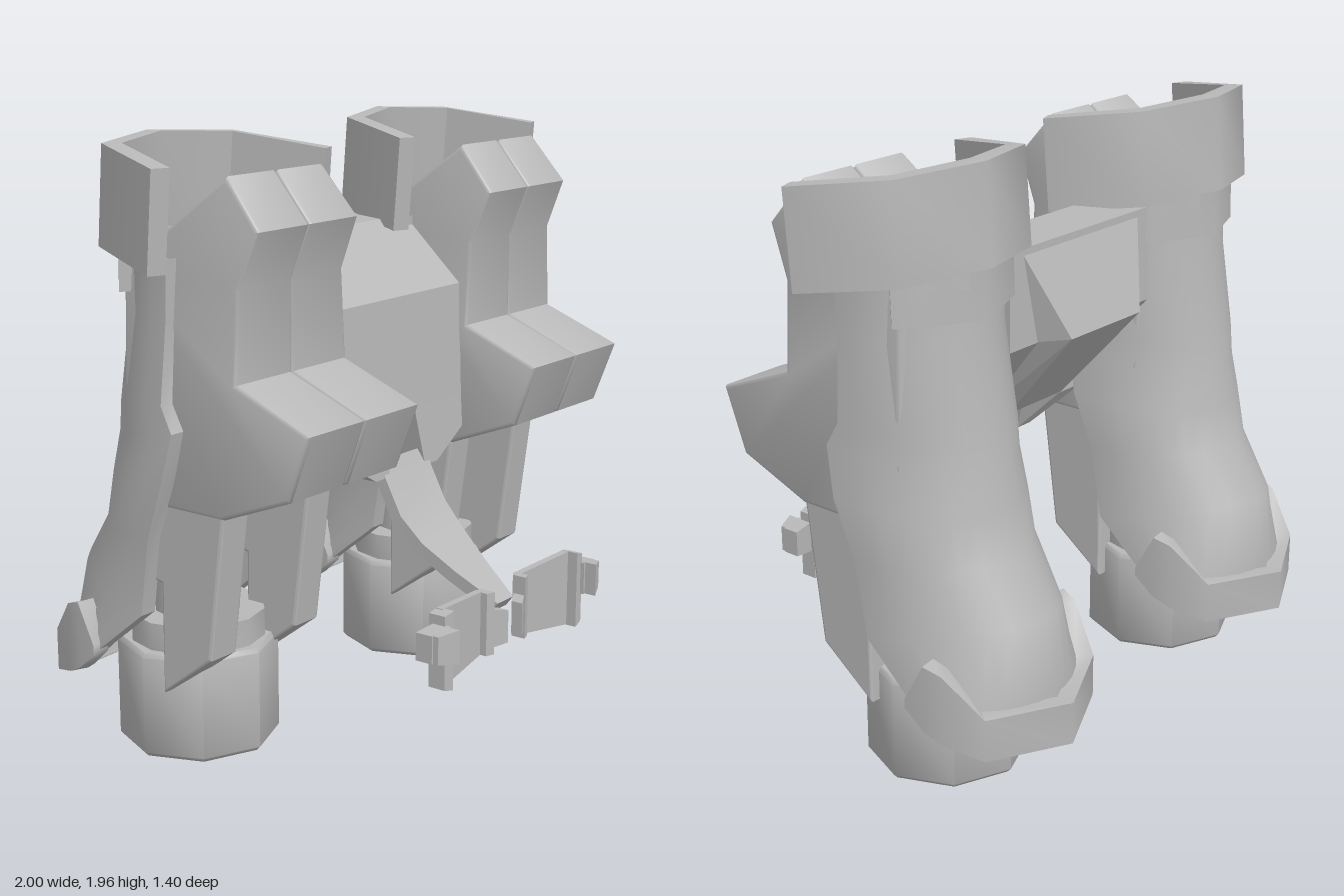
import * as THREE from 'three';
import { toCreasedNormals } from 'three/addons/utils/BufferGeometryUtils.js';
import { ConvexGeometry } from 'three/addons/geometries/ConvexGeometry.js';

const grey = new THREE.MeshStandardMaterial({ color: 0xb8b8b8, side: THREE.DoubleSide });
grey.name = 'grey metal';

function add(parent, name, geometry) {
  const mesh = new THREE.Mesh(geometry, grey);
  mesh.name = name;
  parent.add(mesh);
  return mesh;
}

// Side profile of [z, y] points extruded from x0 to x1
function sideExtrude(profile, x0, x1, bevel = 0) {
  const shape = new THREE.Shape(profile.map(([z, y]) => new THREE.Vector2(-z, y)));
  const g = new THREE.ExtrudeGeometry(shape, {
    depth: x1 - x0 - 2 * bevel, bevelEnabled: bevel > 0, bevelSize: bevel,
    bevelThickness: bevel, bevelOffset: -bevel, bevelSegments: 2,
  });
  return g.rotateY(Math.PI / 2).translate(x0 + bevel, 0, 0);
}

// Surface through rings of [x, y, z]; closed joins the ends of each ring
function loft(rings, closed, crease) {
  const n = rings[0].length, index = [];
  for (let i = 0; i < rings.length - 1; i++) {
    for (let j = 0; j < (closed ? n : n - 1); j++) {
      const k = (j + 1) % n, a = i * n + j, b = i * n + k;
      index.push(a, a + n, b, b, a + n, b + n);
    }
  }
  if (closed) {
    const e = (rings.length - 1) * n;
    for (let j = 1; j < n - 1; j++) index.push(0, j, j + 1, e, e + j + 1, e + j);
  }
  const g = new THREE.BufferGeometry();
  g.setAttribute('position', new THREE.Float32BufferAttribute(rings.flat(2), 3));
  g.setIndex(index);
  return toCreasedNormals(g, crease);
}

// Thick wall along a half plan of [x, z, yBottom, yTop], mirrored about x = 0
function wall(half, thickness, lean) {
  const pts = [...half, ...half.slice(0, -1).reverse().map(([x, ...r]) => [-x, ...r])];
  const rings = pts.map(([x, z, yb, yt], i) => {
    const p = pts[Math.max(i - 1, 0)], q = pts[Math.min(i + 1, pts.length - 1)];
    const l = Math.hypot(q[0] - p[0], q[1] - p[1]);
    const ix = x + (q[1] - p[1]) / l * thickness, iz = z - (q[0] - p[0]) / l * thickness;
    return [[x, yb, z - lean], [x, yt, z], [ix, yt, iz], [ix, yb, iz - lean]];
  });
  return loft(rings, true, 0.9);
}

function createPod() {
  const pod = new THREE.Group();

  // Two-part front cover, narrower at the top
  const profile = [[-0.25, 1.57], [0.15, 1.87], [0.28, 1.72], [0.21, 1.55], [0.21, 1.27],
    [0.49, 1.16], [0.41, 0.95], [0.15, 0.85], [-0.25, 0.85]];
  for (const side of [-1, 1]) {
    const g = sideExtrude(profile, side > 0 ? 0 : -0.265, side > 0 ? 0.265 : 0, 0.014);
    const p = g.attributes.position;
    for (let i = 0; i < p.count; i++) {
      const t = THREE.MathUtils.clamp((p.getY(i) - 1.2) / 0.67, 0, 1);
      p.setX(i, p.getX(i) * (1 - 0.16 * t));
    }
    add(pod, 'frontCover', toCreasedNormals(g, 0.8));

    // Fins hanging beside the nozzle
    const fin = [[0.15, 0.95], [0.15, 0.85], [0.09, 0.39], [-0.11, 0.24], [-0.11, 0.6],
      [-0.2, 0.62], [-0.2, 0.95]];
    add(pod, 'sideFin', sideExtrude(fin, side > 0 ? 0.14 : -0.26, side > 0 ? 0.26 : -0.14, 0.01));
  }

  // Rear sleeve: [front z, front y, back z, back y, half width]
  const levels = [
    [-0.035, 1.62, -0.36, 1.64, 0.285], [-0.04, 1.44, -0.365, 1.43, 0.285],
    [-0.05, 1.18, -0.41, 1.13, 0.305], [-0.005, 1.1, -0.425, 1.03, 0.31],
    [-0.04, 0.94, -0.45, 0.9, 0.325], [-0.11, 0.75, -0.48, 0.75, 0.315],
    [-0.15, 0.5, -0.6, 0.59, 0.31], [-0.32, 0.36, -0.63, 0.35, 0.32], [-0.44, 0.26, -0.63, 0.22, 0.3]];
  const rings = levels.map(([zf, yf, zb, yb, w]) => {
    const ring = [[w - 0.06, yf, zf]];
    for (let i = 0; i <= 16; i++) {
      const a = Math.PI * i / 16, s = Math.sin(a);
      ring.push([w * Math.cos(a), yf + (yb - yf) * s, zf + (zb - zf) * s]);
    }
    ring.push([-w + 0.06, yf, zf]);
    return ring;
  });
  const n = rings[0].length;
  rings.unshift(Array(n).fill([0, 1.58, -0.18]));
  rings.push(Array(n).fill([0, 0.34, -0.3]));
  add(pod, 'rearSleeve', loft(rings, false, 0.7));

  // Flared collar, neck strap and heel band
  add(pod, 'collar', wall([[0.41, 0.035, 1.59, 1.9], [0.29, -0.28, 1.635, 1.945],
    [0, -0.372, 1.65, 1.96]], 0.06, 0.025));
  add(pod, 'neckStrap', wall([[0.27, -0.24, 1.5, 1.64], [0.21, -0.3, 1.5, 1.65],
    [0, -0.372, 1.49, 1.66]], 0.04, 0.005));
  add(pod, 'heelBand', wall([[0.345, -0.33, 0.34, 0.37], [0.34, -0.4, 0.28, 0.5],
    [0.325, -0.46, 0.25, 0.48], [0.265, -0.58, 0.21, 0.35], [0, -0.705, 0.2, 0.34]], 0.06, 0));

  // Nozzle with a faceted bore
  const lathe = (pts, seg) => toCreasedNormals(
    new THREE.LatheGeometry(pts.map(([r, y]) => new THREE.Vector2(r, y)), seg), 0.9);
  add(pod, 'nozzle', lathe([[0, 0.2], [0.15, 0.2], [0.17, 0], [0.245, 0], [0.26, 0.015],
    [0.26, 0.335], [0.25, 0.35], [0, 0.35]], 8)).position.z = -0.2;
  add(pod, 'nozzleStem', lathe([[0.22, 0.35], [0.22, 0.44], [0.14, 0.44], [0.14, 0.78],
    [0.11, 0.8], [0.11, 0.9]], 12)).position.z = -0.2;
  return pod;
}

export function createModel() {
  const model = new THREE.Group();
  model.name = 'jetpack';

  for (const side of [-1, 1]) {
    const pod = createPod();
    pod.name = side > 0 ? 'leftPod' : 'rightPod';
    pod.position.x = 0.59 * side;
    model.add(pod);
  }

  // Central body with a rear bulge
  const body = new THREE.Group();
  body.name = 'centralBody';
  model.add(body);
  add(body, 'bodyShell', sideExtrude([[-0.27, 1.62], [-0.07, 1.62], [0.17, 1.41], [0.19, 1.03],
    [0.0, 0.97], [-0.27, 1.3]], -0.36, 0.36));
  const bulge = [];
  for (const s of [-1, 1]) {
    for (const [x, y, z] of [[0.3, 1.61, -0.265], [0.18, 1.32, -0.37], [0.23, 1.3, -0.26],
      [0.14, 0.99, -0.08], [0.2, 0.98, 0]]) bulge.push(new THREE.Vector3(x * s, y, z));
  }
  add(body, 'rearBulge', new ConvexGeometry(bulge));

  // Lower tabs either side of the notch
  for (const s of [-1, 1]) {
    const tab = [];
    for (const [x, y] of [[0.36, 1.03], [0.36, 0.94], [0.23, 0.94], [0.17, 0.83], [0.1, 0.83], [0.06, 1.03]]) {
      const zf = 0.19 + (1.03 - y) * 0.08;
      tab.push(new THREE.Vector3(x * s, y, zf), new THREE.Vector3(x * s, y, y < 0.9 ? 0.08 : 0));
    }
    add(body, 'lowerTab', new ConvexGeometry(tab));
  }

  // Curved control arm: [half width, y, z]
  const arm = [[0.125, 0.87, 0.17], [0.125, 0.7, 0.26], [0.115, 0.62, 0.34],
    [0.085, 0.54, 0.45], [0.045, 0.45, 0.59]].map(([w, y, z]) => [
    [-w, y + 0.015, z + 0.012], [w, y + 0.015, z + 0.012],
    [w, y - 0.02, z - 0.015], [-w, y - 0.02, z - 0.015]]);
  add(model, 'controlArm', loft(arm, true, 0.5));

  // Hand controls
  for (const s of [-1, 1]) {
    const hand = new THREE.Group();
    hand.name = s > 0 ? 'leftControl' : 'rightControl';
    model.add(hand);
    const plate = (name, corners, depth) => add(hand, name, new ConvexGeometry(
      corners.flatMap(([x, y, z]) => [new THREE.Vector3(x * s, y, z), new THREE.Vector3(x * s, y, z + depth)])));
    plate('controlPlate', [[0.11, 0.52, 0.56], [0.11, 0.31, 0.56], [0.37, 0.54, 0.59], [0.37, 0.28, 0.59]], 0.025);
    plate('innerFlange', [[0.09, 0.52, 0.57], [0.09, 0.31, 0.57], [0.12, 0.52, 0.56], [0.12, 0.31, 0.56]], 0.05);
    plate('outerFlange', [[0.36, 0.54, 0.59], [0.36, 0.28, 0.59], [0.4, 0.53, 0.585], [0.4, 0.29, 0.585]], 0.06);
    plate('innerBlock', [[0.04, 0.45, 0.6], [0.04, 0.34, 0.6], [0.1, 0.46, 0.57], [0.1, 0.33, 0.57]], 0.04);
    plate('outerBlock', [[0.39, 0.5, 0.6], [0.39, 0.39, 0.6], [0.475, 0.49, 0.59], [0.475, 0.4, 0.59]], 0.06);
    plate('grip', [[0.4, 0.5, 0.65], [0.4, 0.39, 0.65], [0.47, 0.49, 0.62], [0.47, 0.4, 0.62]], 0.05);
  }
  return model;
}
